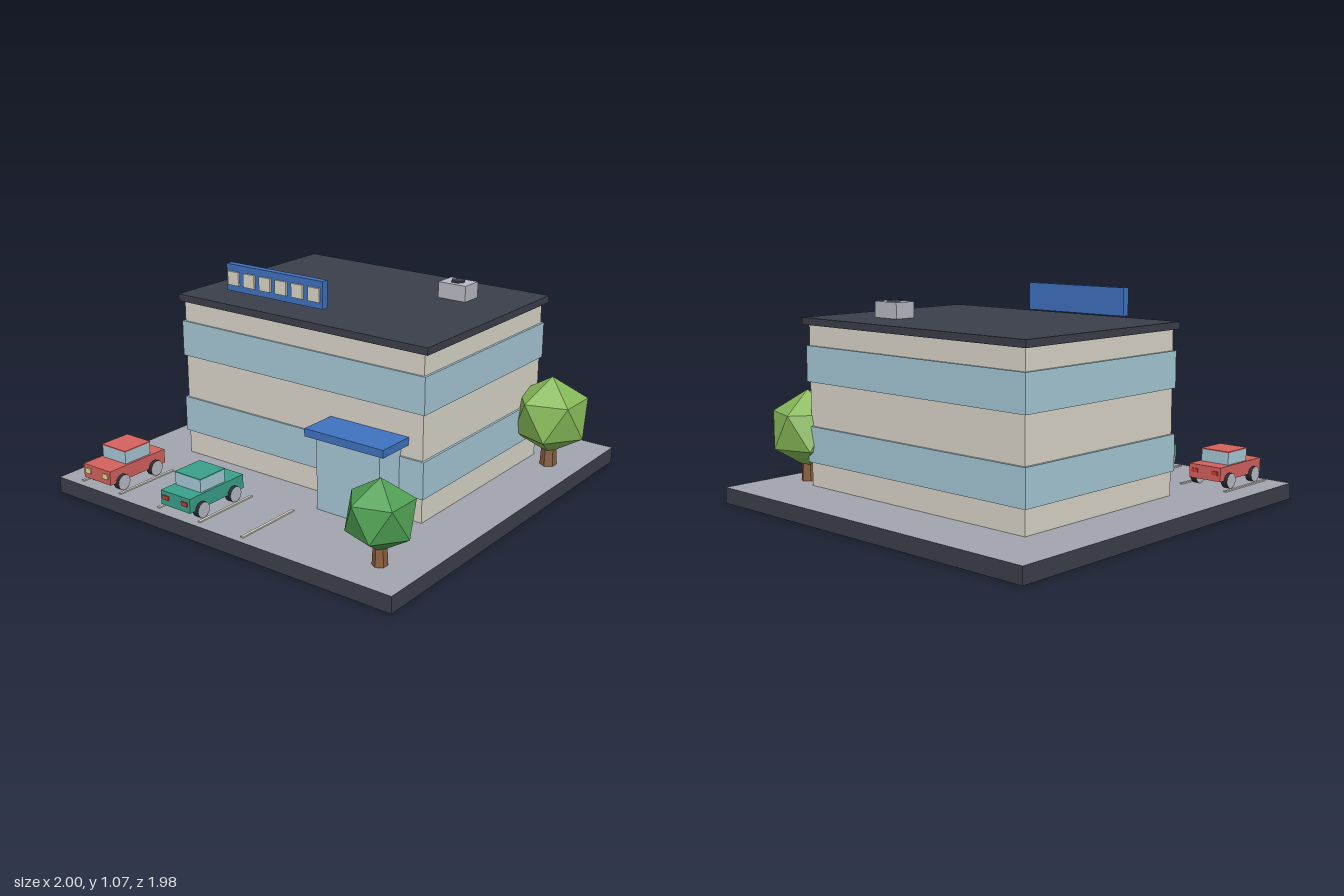
import * as THREE from 'three';

const mat = (color) => new THREE.MeshStandardMaterial({ color });
const flat = (color) => new THREE.MeshStandardMaterial({ color, flatShading: true });
const M = {
  dark: mat(0x3b3f4a), paving: mat(0xa2a5ae), wall: mat(0xdbd6ca), glass: mat(0xa6c9d6),
  blue: mat(0x3f72c0), cream: mat(0xdcd8c8), metal: mat(0xb8bac4), tyre: mat(0x2a2c33),
  red: mat(0xd4625e), teal: mat(0x3aa08a), lamp: mat(0xf0d890), tail: mat(0xd03a30),
  bark: flat(0x8a6040), leafLight: flat(0x86b858), leafDark: flat(0x4f9f52),
};

function add(parent, name, geometry, material, x = 0, y = 0, z = 0) {
  const mesh = new THREE.Mesh(geometry, material);
  mesh.name = name;
  mesh.position.set(x, y, z);
  parent.add(mesh);
  return mesh;
}

// Box given by its extents on each axis
function block(parent, name, material, [x0, x1], [y0, y1], [z0, z1]) {
  return add(parent, name, new THREE.BoxGeometry(x1 - x0, y1 - y0, z1 - z0), material,
    (x0 + x1) / 2, (y0 + y1) / 2, (z0 + z1) / 2);
}

function subgroup(parent, name) {
  const g = new THREE.Group();
  g.name = name;
  parent.add(g);
  return g;
}

// Tree: tapered trunk and a faceted crown with one corner pointing up
function tree(parent, x, z, radius, crownY, leaf) {
  const g = subgroup(parent, 'tree');
  g.position.set(x, 0, z);
  const h = crownY - radius * 0.7;
  add(g, 'trunk', new THREE.CylinderGeometry(radius * 0.18, radius * 0.23, h, 6), M.bark, 0, h / 2, 0);
  const crown = new THREE.IcosahedronGeometry(radius, 0);
  crown.rotateZ(Math.atan(2 / (1 + Math.sqrt(5))));
  add(g, 'crown', crown, leaf, 0, crownY, 0);
}

// Car: nose points to +z before turning
function car(parent, x, z, paint, turn) {
  const g = subgroup(parent, 'car');
  g.position.set(x, 0, z);
  g.rotation.y = turn;
  block(g, 'carBody', paint, [-0.09, 0.09], [0.12, 0.19], [-0.18, 0.18]);
  block(g, 'carWindows', M.glass, [-0.078, 0.078], [0.19, 0.25], [-0.095, 0.067]);
  block(g, 'carRoof', paint, [-0.08, 0.08], [0.25, 0.256], [-0.097, 0.069]);
  const wheel = new THREE.CylinderGeometry(0.038, 0.038, 0.035, 14);
  wheel.rotateZ(Math.PI / 2);
  for (const sx of [-1, 1]) {
    const lx = sx * 0.058;
    block(g, 'headlight', M.lamp, [lx - 0.018, lx + 0.018], [0.147, 0.172], [0.178, 0.186]);
    block(g, 'tailLight', M.tail, [lx - 0.018, lx + 0.018], [0.15, 0.17], [-0.186, -0.178]);
    for (const sz of [-1, 1]) {
      add(g, 'wheel', wheel, [M.tyre, M.metal, M.metal], sx * 0.09, 0.118, sz * 0.108);
    }
  }
}

export function createModel() {
  const model = new THREE.Group();
  model.name = 'officeBuilding';

  // Ground slab: paved on top, dark around
  const base = block(model, 'groundSlab', M.dark, [-1, 0.98], [0, 0.08], [-0.99, 0.99]);
  base.material = [M.dark, M.dark, M.paving, M.dark, M.dark, M.dark];

  // Main block with two window bands and a flat roof
  const building = subgroup(model, 'building');
  block(building, 'walls', M.wall, [-0.72, 0.7], [0.08, 0.88], [-0.67, 0.36]);
  for (const y of [[0.2, 0.38], [0.6, 0.778]]) {
    block(building, 'windowBand', M.glass, [-0.733, 0.711], y, [-0.682, 0.37]);
  }
  block(building, 'roof', M.dark, [-0.745, 0.725], [0.88, 0.915], [-0.694, 0.377]);

  // Entrance and canopy
  block(building, 'entrance', M.glass, [0.23, 0.582], [0.08, 0.44], [0.3, 0.521]);
  block(building, 'canopy', M.blue, [0.187, 0.624], [0.44, 0.478], [0.36, 0.555]);

  // Roof sign with a row of blank panels
  const sign = subgroup(building, 'roofSign');
  block(sign, 'signBoard', M.blue, [-0.545, 0.048], [0.938, 1.072], [0.203, 0.24]);
  for (let i = 0; i < 6; i++) {
    const x = -0.497 + i * 0.0995;
    block(sign, 'signPanel', M.cream, [x - 0.034, x + 0.034], [0.97, 1.038], [0.235, 0.25]);
  }

  // Rooftop ventilation unit
  block(building, 'ventUnit', M.metal, [0.31, 0.464], [0.915, 0.994], [-0.452, -0.338]);
  const fan = add(building, 'ventFan', new THREE.CylinderGeometry(0.036, 0.036, 0.012, 6),
    flat(0x3b3f4a), 0.387, 0.997, -0.395);
  fan.rotation.y = Math.PI / 6;

  // Parking bay lines
  for (let i = 0; i < 5; i++) {
    const x = -0.872 + i * 0.2565;
    block(model, 'parkingLine', M.cream, [x - 0.007, x + 0.007], [0.08, 0.086], [0.6, 0.955]);
  }

  car(model, -0.743, 0.795, M.red, 0);
  car(model, -0.227, 0.795, M.teal, Math.PI);

  tree(model, 0.82, -0.597, 0.2, 0.342, M.leafLight);
  tree(model, 0.783, 0.795, 0.167, 0.31, M.leafDark);
  return model;
}
